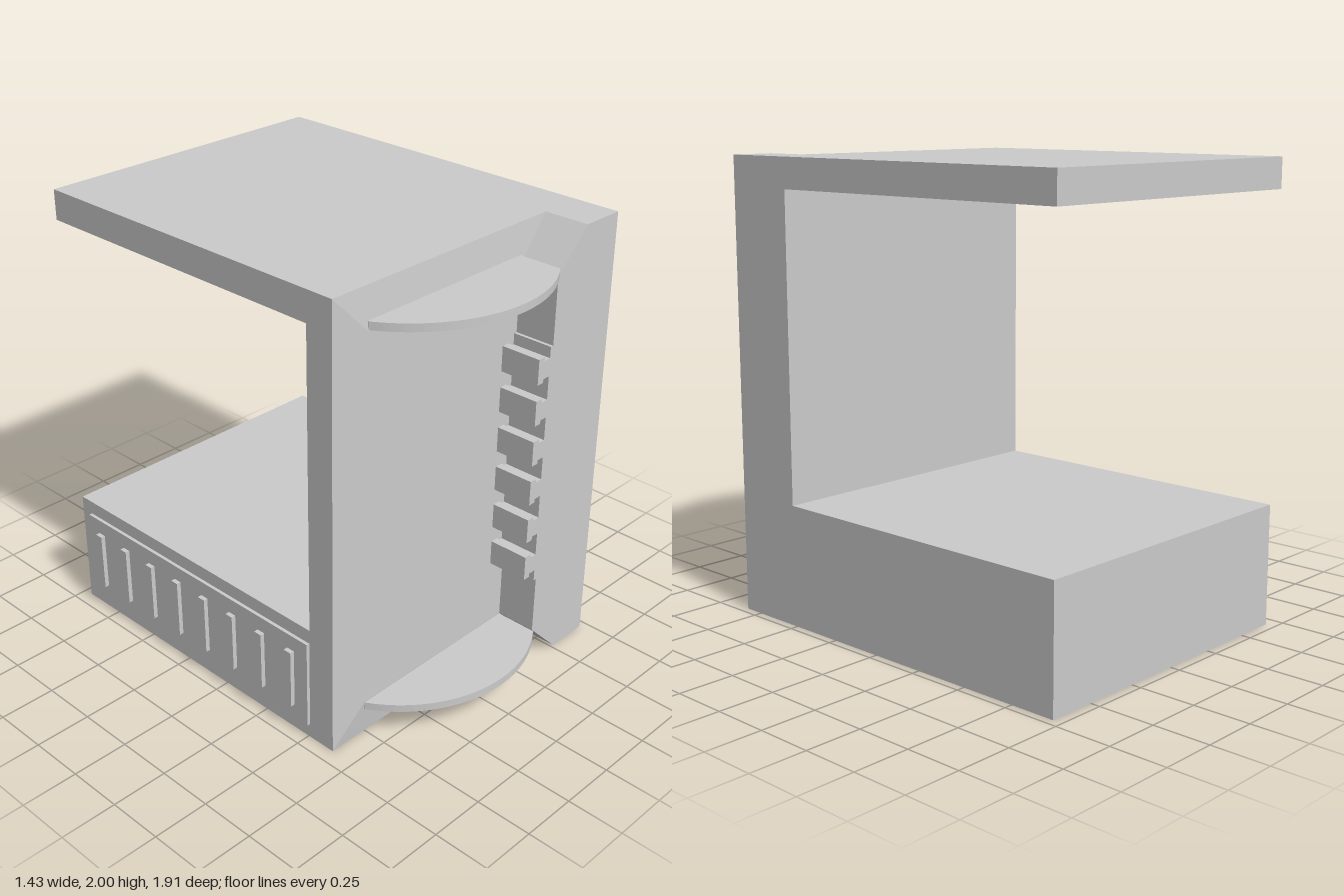
import * as THREE from 'three';
import { ConvexGeometry } from 'three/addons/geometries/ConvexGeometry.js';

const BACK = -0.957, FRONT = 0.638, PANEL = 0.658, PILLAR = 0.841;
const LEFT = -0.685, RIGHT = 0.715;

export function createModel() {
  const model = new THREE.Group();
  model.name = 'cabinet';
  const material = new THREE.MeshStandardMaterial({ color: 0xcccccc });

  const add = (name, geometry, parent = model) => {
    const mesh = new THREE.Mesh(geometry, material);
    mesh.name = name;
    parent.add(mesh);
    return mesh;
  };
  const box = (name, x0, x1, y0, y1, z0, z1, parent) =>
    add(name, new THREE.BoxGeometry(x1 - x0, y1 - y0, z1 - z0), parent)
      .position.set((x0 + x1) / 2, (y0 + y1) / 2, (z0 + z1) / 2);
  const polygon = (points) => new THREE.Shape(points.map(([x, y]) => new THREE.Vector2(x, y)));

  // C-shaped body: side profile drawn as (-z, y), extruded along x
  const side = polygon([
    [-FRONT, 0], [-BACK, 0], [-BACK, 0.535], [-0.51, 0.535],
    [-0.51, 1.868], [-BACK, 1.868], [-BACK, 2], [-FRONT, 2],
  ]);
  const body = new THREE.ExtrudeGeometry(side, { depth: RIGHT - LEFT, bevelEnabled: false });
  body.rotateY(Math.PI / 2).translate(LEFT, 0, 0);
  add('body', body);

  // Shallow raised front panel with sloping borders; its right end runs into the pillar
  const corners = [];
  for (const [x0, y0, y1, z] of [[LEFT, 0, 2, FRONT], [-0.52, 0.17, 1.83, PANEL]])
    for (const x of [x0, 0.6])
      for (const y of [y0, y1]) corners.push(new THREE.Vector3(x, y, z));
  add('frontPanel', new ConvexGeometry(corners));

  // Front pillar with chamfered ends and a row of hooked teeth along its inner edge
  const outline = [[RIGHT, 0], [RIGHT, 2], [0.515, 2], [0.347, 1.83], [0.347, 1.54], [0.332, 1.54]];
  for (let i = 0; i < 6; i++) {
    const top = 1.507 - i * 0.1843, bottom = top - 0.112;
    outline.push(
      [0.332, top - 0.016], [0.297, top - 0.016], [0.297, top], [0.262, top],
      [0.262, bottom], [0.297, bottom], [0.297, bottom + 0.016], [0.332, bottom + 0.016],
    );
  }
  outline.push([0.332, 0.438], [0.347, 0.438], [0.347, 0.17], [0.515, 0]);
  const pillar = new THREE.ExtrudeGeometry(polygon(outline), { depth: PILLAR - FRONT, bevelEnabled: false });
  pillar.translate(0, 0, FRONT);
  add('toothedPillar', pillar);

  // Two thin rounded shelves projecting from the front panel
  const radius = 0.602, centre = 0.355, arc = [];
  const start = Math.asin(-0.52 / radius), end = Math.asin(0.347 / radius);
  for (let i = 0; i <= 40; i++) {
    const a = start + (end - start) * i / 40;
    arc.push([radius * Math.sin(a), -(centre + radius * Math.cos(a))]);
  }
  arc.push([0.347, -0.645], [-0.52, -0.645]);
  const shelf = new THREE.ExtrudeGeometry(polygon(arc), { depth: 0.034, bevelEnabled: false });
  shelf.rotateX(-Math.PI / 2);
  add('upperShelf', shelf).position.y = 1.835;
  add('lowerShelf', shelf).position.y = 0.133;

  // Side vent: thin plate with eight raised slats
  const vent = new THREE.Group();
  vent.name = 'sideVent';
  model.add(vent);
  box('ventPlate', -0.7, LEFT, 0.066, 0.472, -0.895, 0.508, vent);
  for (let i = 0; i < 8; i++) {
    const z = -0.81 + i * 0.175;
    box('ventSlat', -0.72, -0.7, 0.135, 0.403, z - 0.019, z + 0.019, vent);
  }
  return model;
}
